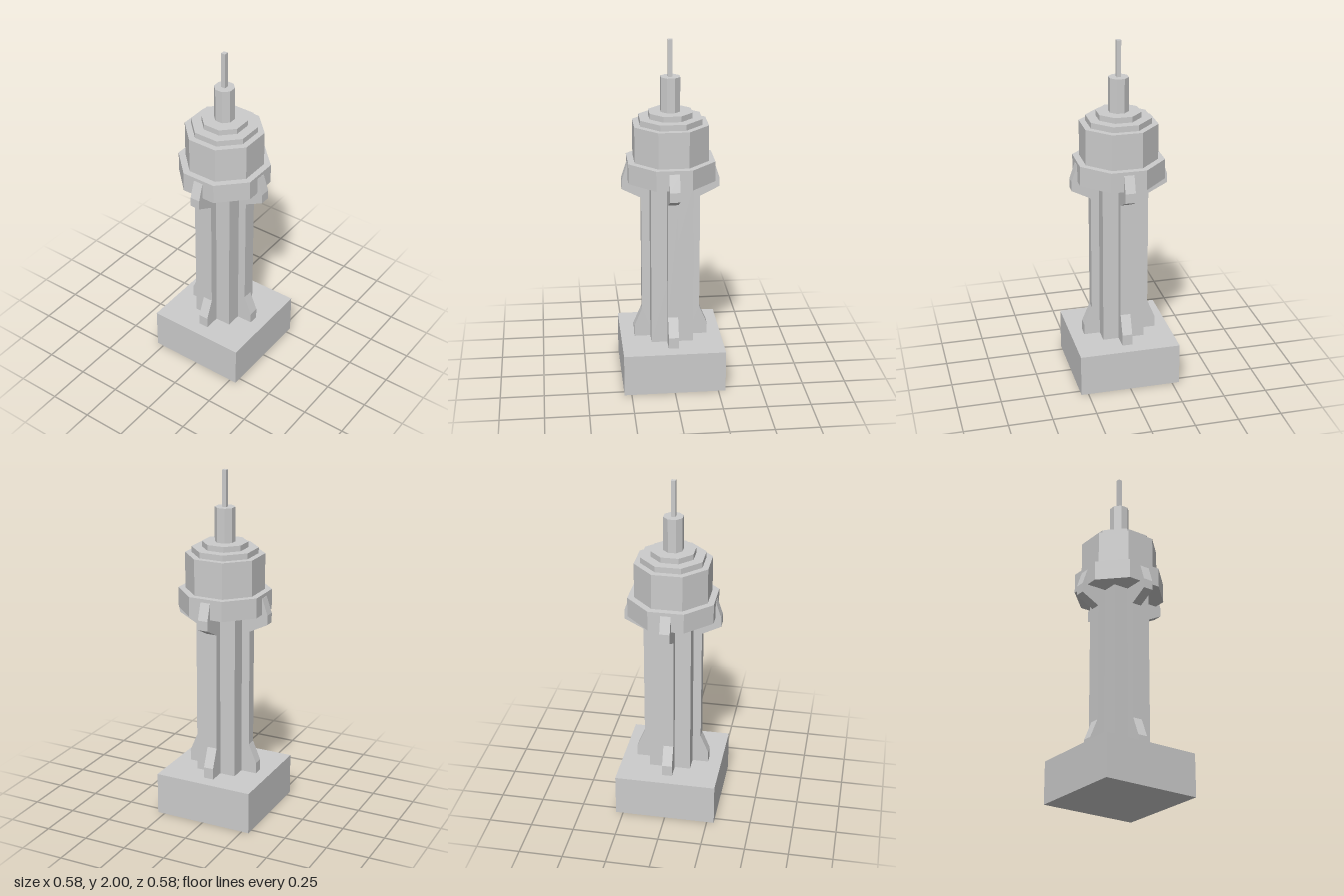
import * as THREE from 'three';

const material = new THREE.MeshStandardMaterial({ color: 0xcccccc, flatShading: true });

function addMesh(parent, name, geometry, y = 0) {
  const mesh = new THREE.Mesh(geometry, material);
  mesh.name = name;
  mesh.position.y = y;
  parent.add(mesh);
  return mesh;
}

// Square block standing on y0
function block(parent, name, width, y0, y1) {
  return addMesh(parent, name, new THREE.BoxGeometry(width, y1 - y0, width), (y0 + y1) / 2);
}

// Octagonal tier with flat sides facing the axes; apothem = centre to flat side
function octagon(parent, name, apothem, y0, y1) {
  const radius = apothem / Math.cos(Math.PI / 8);
  const geometry = new THREE.CylinderGeometry(radius, radius, y1 - y0, 8);
  geometry.rotateY(Math.PI / 8);
  return addMesh(parent, name, geometry, (y0 + y1) / 2);
}

export function createModel() {
  const tower = new THREE.Group();
  tower.name = 'tower';

  // Plinth and square shaft
  block(tower, 'base', 0.583, 0, 0.245);
  block(tower, 'shaft', 0.24, 0.245, 1.215);

  // Buttress profile: flared foot, straight rib, bracket under and around the gallery
  const profile = [
    [0.1, 0.245], [0.213, 0.245], [0.213, 0.31], [0.167, 0.42], [0.167, 1.105],
    [0.275, 1.16], [0.275, 1.215], [0.243, 1.31], [0.1, 1.31],
  ].map(([x, y]) => new THREE.Vector2(x, y));
  const width = 0.058;
  const buttressGeometry = new THREE.ExtrudeGeometry(new THREE.Shape(profile), {
    depth: width, bevelEnabled: false,
  });
  buttressGeometry.translate(0, 0, -width / 2);
  ['left', 'back', 'right', 'front'].forEach((side, i) => {
    addMesh(tower, `${side}Buttress`, buttressGeometry).rotation.y = i * Math.PI / 2;
  });

  // Octagonal head, stepped roof and turret
  octagon(tower, 'galleryRing', 0.242, 1.215, 1.33);
  octagon(tower, 'headDrum', 0.206, 1.33, 1.535);
  octagon(tower, 'lowerRoofStep', 0.172, 1.535, 1.568);
  octagon(tower, 'upperRoofStep', 0.119, 1.568, 1.6);
  octagon(tower, 'turret', 0.053, 1.6, 1.795);

  // Square mast
  block(tower, 'mast', 0.025, 1.795, 2);

  return tower;
}
